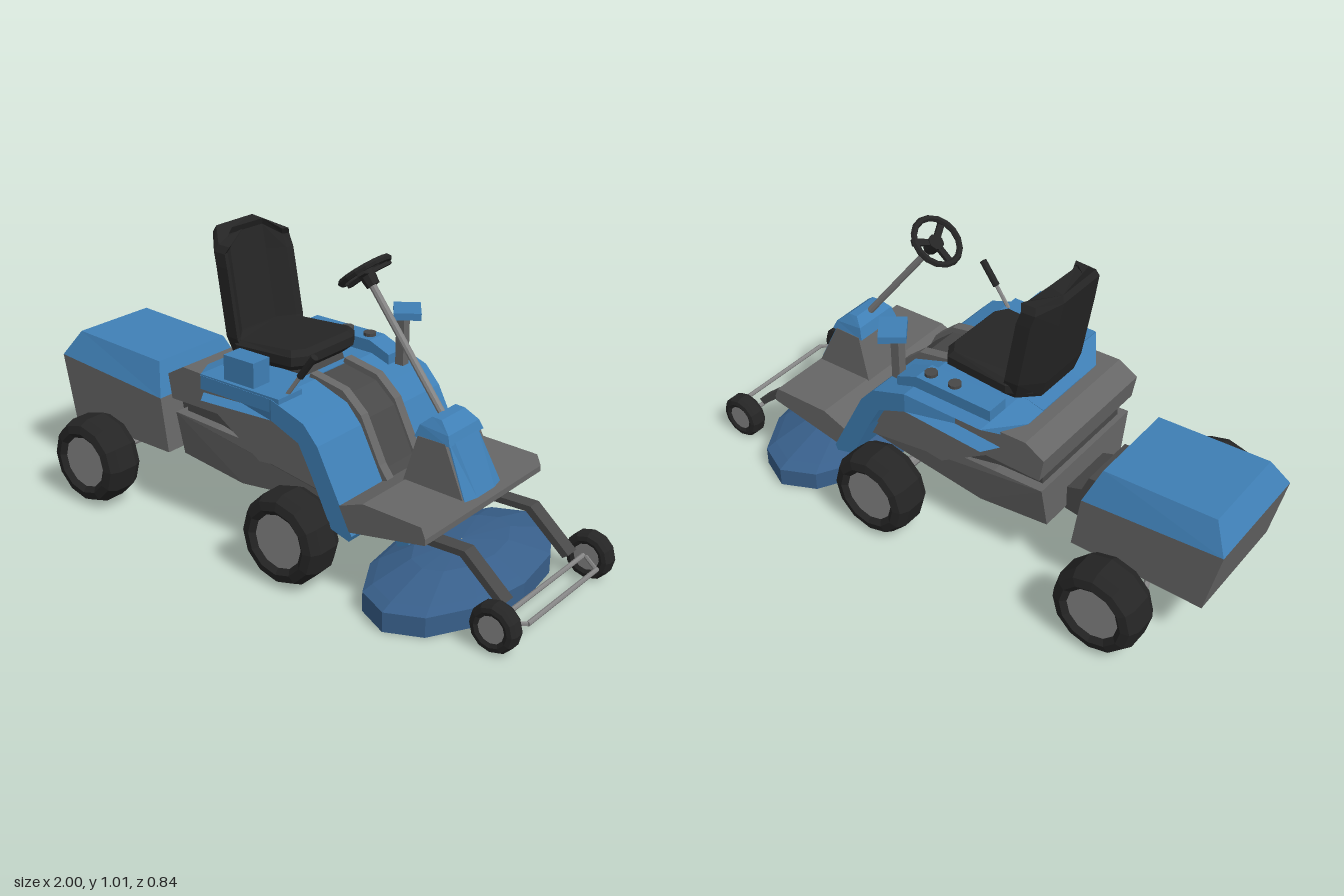
import * as THREE from 'three';

const mat = (color, side = THREE.FrontSide) => new THREE.MeshStandardMaterial({ color, side, flatShading: true });
const blue = mat(0x3f7fb5), deckBlue = mat(0x385f8a, THREE.DoubleSide), grey = mat(0x666666);
const dark = mat(0x484848), black = mat(0x252525), metal = mat(0x858585);

export function createModel() {
  const model = new THREE.Group();
  const add = (name, geo, material, x = 0, y = 0, z = 0) => {
    const m = new THREE.Mesh(geo, material);
    m.name = name;
    m.position.set(x, y, z);
    model.add(m);
    return m;
  };
  // side outline in x,y extruded from z0 to z1
  const prism = (pts, z0, z1) => {
    const s = new THREE.Shape(pts.map(p => new THREE.Vector2(...p)));
    return new THREE.ExtrudeGeometry(s, { depth: z1 - z0, bevelEnabled: false }).translate(0, 0, z0);
  };
  const box = (name, m, x0, x1, y0, y1, z0, z1) =>
    add(name, new THREE.BoxGeometry(x1 - x0, y1 - y0, z1 - z0), m, (x0 + x1) / 2, (y0 + y1) / 2, (z0 + z1) / 2);
  // round bar between two points
  const rod = (name, m, a, b, r, sides = 8, r2 = r) => {
    const A = new THREE.Vector3(...a), d = new THREE.Vector3(...b).sub(A);
    const o = add(name, new THREE.CylinderGeometry(r2, r, d.length(), sides), m);
    o.position.copy(A).addScaledVector(d, 0.5);
    o.quaternion.setFromUnitVectors(new THREE.Vector3(0, 1, 0), d.normalize());
    return o;
  };
  // closed skin over rings with equal point counts, wound outward
  const loft = rings => {
    const n = rings[0].length, idx = [], v = rings.flat().map(p => new THREE.Vector3(...p));
    for (let r = 0; r < rings.length - 1; r++)
      for (let i = 0; i < n; i++) {
        const a = r * n + i, b = r * n + (i + 1) % n;
        idx.push(a, b, b + n, a, b + n, a + n);
      }
    const e = (rings.length - 1) * n;
    for (let i = 1; i < n - 1; i++) idx.push(0, i + 1, i, e, e + i, e + i + 1);
    let vol = 0;
    for (let i = 0; i < idx.length; i += 3)
      vol += v[idx[i]].dot(v[idx[i + 1]].clone().cross(v[idx[i + 2]]));
    if (vol < 0) idx.reverse();
    const g = new THREE.BufferGeometry().setFromPoints(v).setIndex(idx);
    g.computeVertexNormals();
    return g;
  };
  const rect = (x0, x1, y0, y1, z0, z1) => [[x0, y0, z0], [x1, y1, z0], [x1, y1, z1], [x0, y0, z1]];

  // wheels: tyre profile turned round the axle, with a hub disc
  const wheel = (name, x, y, z, r, w, hubR, sides) => {
    const h = w / 2;
    const prof = [[hubR, -h * 0.8], [r * 0.72, -h], [r * 0.9, -h * 0.9], [r, -h * 0.5], [r, h * 0.5],
      [r * 0.9, h * 0.9], [r * 0.72, h], [hubR, h * 0.8]].map(p => new THREE.Vector2(...p));
    add(name + 'Tyre', new THREE.LatheGeometry(prof, sides).rotateX(Math.PI / 2), black, x, y, z);
    add(name + 'Hub', new THREE.CylinderGeometry(hubR * 1.02, hubR * 1.02, w * 0.8, sides).rotateX(Math.PI / 2), metal, x, y, z);
  };
  for (const s of [1, -1]) {
    wheel('rearWheel', -0.685, 0.163, s * 0.346 - 0.004, 0.154, 0.15, 0.092, 12);
    wheel('driveWheel', 0.2, 0.163, s * 0.346 - 0.004, 0.154, 0.15, 0.092, 12);
    wheel('guideWheel', 0.915, 0.083, s * 0.274 - 0.004, 0.08, 0.064, 0.045, 12);
    // bent stay from the rear axle to the trailer
    const stay = new THREE.CatmullRomCurve3([[-0.69, 0.16, 0.28], [-0.76, 0.165, 0.24], [-0.74, 0.2, 0.17]]
      .map(p => new THREE.Vector3(p[0], p[1], p[2] * s)));
    add('rearStay', new THREE.TubeGeometry(stay, 5, 0.01, 6), metal);
    // cranked deck arm
    add('deckArm', prism([[0.38, 0.21], [0.74, 0.222], [0.88, 0.105], [0.9, 0.12], [0.755, 0.243], [0.38, 0.232]],
      s * 0.184 - 0.029, s * 0.184 + 0.021), dark);
    rod('barEnd', metal, [0.915, 0.085, s * 0.25], [0.98, 0.083, s * 0.2], 0.007, 6);
  }
  rod('rearAxle', metal, [-0.685, 0.16, -0.3], [-0.685, 0.16, 0.3], 0.014);
  rod('driveAxle', metal, [0.2, 0.16, -0.3], [0.2, 0.16, 0.3], 0.02);
  rod('guideAxle', metal, [0.905, 0.085, -0.26], [0.905, 0.085, 0.25], 0.008);
  rod('frontBar', metal, [0.98, 0.083, -0.205], [0.98, 0.083, 0.2], 0.008);

  // rear collector with bevelled lid and hitch
  add('collectorBox', loft([rect(-0.95, -0.475, 0.19, 0.19, -0.215, 0.2), rect(-1, -0.505, 0.425, 0.385, -0.215, 0.2)]), grey);
  add('collectorLid', loft([rect(-1, -0.505, 0.425, 0.385, -0.215, 0.2), rect(-0.945, -0.55, 0.515, 0.497, -0.168, 0.155)]), blue);
  add('hitch', prism([[-0.52, 0.19], [-0.38, 0.21], [-0.38, 0.3], [-0.44, 0.32], [-0.465, 0.38], [-0.52, 0.385]], -0.11, 0.1), dark);

  // body: upper and lower side panels over a narrower core that forms the recess
  add('bodyCore', prism([[-0.37, 0.24], [-0.12, 0.21], [0.34, 0.26], [0.3, 0.4], [0.15, 0.53], [-0.36, 0.53]], -0.22, 0.21), dark);
  add('upperBody', prism([[-0.385, 0.44], [-0.18, 0.44], [0, 0.325], [0.31, 0.36], [0.23, 0.48], [0.12, 0.55],
    [-0.33, 0.565], [-0.4, 0.525]], -0.27, 0.26), grey);
  const lower = (z, b) => [[-0.385, 0.385, z], [-0.2, 0.375, z], [0.01, 0.325, z], [0.33, 0.35, z],
    [0.38, 0.27, z], [0.34, 0.245, b], [-0.12, 0.188, b], [-0.385, 0.22, b]];
  add('lowerBody', loft([lower(-0.255, -0.22), lower(0.245, 0.21)]), grey);

  // fenders, drawn in toward the rear
  const fender = [[-0.29, 0.5], [-0.2, 0.5], [0.1, 0.515], [0.21, 0.47], [0.26, 0.38], [0.34, 0.22], [0.41, 0.2], [0.42, 0.22],
    [0.285, 0.48], [0.23, 0.54], [0.1, 0.585], [-0.2, 0.588], [-0.285, 0.565]];
  for (const [z0, z1] of [[0.095, 0.315], [-0.325, -0.105]]) {
    const g = prism(fender, z0, z1), p = g.attributes.position;
    for (let i = 0; i < p.count; i++)
      if (p.getX(i) < -0.25 && Math.abs(p.getZ(i)) > 0.2) p.setZ(i, Math.sign(z0) * 0.19);
    add('fender', g, blue);
  }
  add('rearDeckPlate', prism([[-0.285, 0.55], [0.08, 0.55], [0.08, 0.583], [-0.2, 0.588], [-0.285, 0.567]], -0.11, 0.1), blue);

  // centre tunnel with raised edges, and the chute down to the mower deck
  const tunnel = [[0.05, 0.5], [0.2, 0.45], [0.33, 0.28], [0.42, 0.28], [0.36, 0.36], [0.285, 0.51], [0.21, 0.575], [0.08, 0.6]];
  add('tunnel', prism(tunnel.map(([x, y]) => [x, y - 0.02]), -0.08, 0.07), dark);
  for (const z of [-0.11, 0.065]) add('tunnelEdge', prism(tunnel, z, z + 0.035), grey);
  add('chute', prism([[0.33, 0.23], [0.41, 0.15], [0.44, 0.1], [0.485, 0.1], [0.475, 0.16], [0.42, 0.2], [0.4, 0.27]], -0.12, 0.1), blue);

  // foot plate and dashboard tower
  add('footPlate', prism([[0.41, 0.232], [0.69, 0.285], [0.69, 0.305], [0.675, 0.34], [0.46, 0.345], [0.37, 0.31]], -0.325, 0.315), grey);
  add('dashTower', loft([rect(0.45, 0.675, 0.335, 0.335, -0.105, 0.1), rect(0.495, 0.595, 0.5, 0.5, -0.095, 0.09)]), grey);
  add('dashFront', loft([
    [[0.6, 0.335, -0.1], [0.678, 0.335, -0.1], [0.69, 0.335, -0.05], [0.69, 0.335, 0.045], [0.678, 0.335, 0.095], [0.6, 0.335, 0.095]],
    [[0.55, 0.5, -0.085], [0.6, 0.5, -0.08], [0.612, 0.5, -0.065], [0.612, 0.5, 0.06], [0.6, 0.5, 0.075], [0.55, 0.5, 0.08]]]), blue);
  add('dashCap', loft([rect(0.482, 0.612, 0.495, 0.495, -0.095, 0.09), rect(0.495, 0.6, 0.535, 0.525, -0.085, 0.08),
    rect(0.525, 0.56, 0.562, 0.56, -0.065, 0.06)]), blue);

  // seat: cushion and wrap-around back
  const cushion = (y, k, dy) => [[-0.25, -0.12], [-0.18, -0.17], [0.05, -0.165], [0.08, -0.12], [0.08, 0.115], [0.05, 0.16],
    [-0.18, 0.165], [-0.25, 0.115]].map(([x, z]) => [-0.085 + (x + 0.085) * k, y + (x > 0 ? dy : 0), z * k]);
  add('seatBase', prism([[-0.2, 0.57], [0.06, 0.57], [0.04, 0.62], [-0.18, 0.62]], -0.105, 0.1), dark);
  add('seatCushion', loft([cushion(0.595, 0.82, 0.01), cushion(0.622, 1, 0.01), cushion(0.652, 1, 0.01), cushion(0.665, 0.9, 0.015)]), black);
  const back = (x, y, w) => [[0, -0.6], [0.06, -0.98], [0.11, -1], [0.1, -0.85], [0.06, -0.5], [0.055, 0.5], [0.1, 0.85],
    [0.11, 1], [0.06, 0.98], [0, 0.6]].map(([dx, z]) => [x + dx, y - (Math.abs(z) > 0.8 && y > 0.93 ? 0.04 : 0), z * w - 0.003]);
  add('seatBack', loft([back(-0.265, 0.605, 0.15), back(-0.285, 0.67, 0.165), back(-0.325, 0.9, 0.163),
    back(-0.339, 0.985, 0.158), back(-0.33, 1.007, 0.145)]), black);

  // steering column and wheel
  rod('steeringColumn', metal, [0.53, 0.54, 0], [0.245, 0.905, 0], 0.012);
  const steering = new THREE.Group();
  steering.name = 'steeringWheel';
  steering.position.set(0.215, 0.945, 0);
  steering.rotation.z = Math.atan2(0.11, 0.135);
  steering.add(new THREE.Mesh(new THREE.TorusGeometry(0.083, 0.011, 6, 16).rotateX(Math.PI / 2), black));
  const hub = new THREE.Mesh(new THREE.CylinderGeometry(0.028, 0.022, 0.05, 8), black);
  hub.position.y = -0.028;
  steering.add(hub);
  for (let i = 0; i < 3; i++) {
    const spoke = new THREE.Mesh(new THREE.BoxGeometry(0.085, 0.012, 0.022).translate(0.043, -0.012, 0), black);
    spoke.rotation.y = Math.PI + i * Math.PI * 2 / 3;
    steering.add(spoke);
  }
  model.add(steering);

  // left console with lever
  box('consoleBlock', blue, -0.11, 0.015, 0.57, 0.676, 0.222, 0.298);
  box('leverBase', blue, -0.2, 0.13, 0.54, 0.592, 0.2, 0.313);
  rod('lever', metal, [0.1, 0.565, 0.255], [0.175, 0.67, 0.255], 0.007, 6);
  rod('leverGrip', black, [0.168, 0.66, 0.255], [0.225, 0.738, 0.255], 0.012, 8);

  // right console with dials and display
  add('dialConsole', prism([[-0.2, 0.57], [0.17, 0.56], [0.17, 0.595], [0.09, 0.628], [-0.2, 0.628]], -0.275, -0.195), blue);
  for (const x of [-0.035, 0.06]) add('dial', new THREE.CylinderGeometry(0.022, 0.022, 0.014, 10), dark, x, 0.632, -0.236);
  box('displayPost', grey, 0.18, 0.212, 0.56, 0.735, -0.25, -0.218);
  add('display', new THREE.BoxGeometry(0.09, 0.024, 0.115), blue, 0.205, 0.743, -0.244).rotation.y = 0.65;

  // mower deck: open faceted bowl
  const deck = add('mowerDeck', new THREE.LatheGeometry([[1, 0.005], [1, 0.072], [0.9, 0.088], [0.52, 0.132], [0.01, 0.145]]
    .map(p => new THREE.Vector2(...p)), 12), deckBlue, 0.608, 0, -0.007);
  deck.scale.set(0.234, 1, 0.412);
  return model;
}
